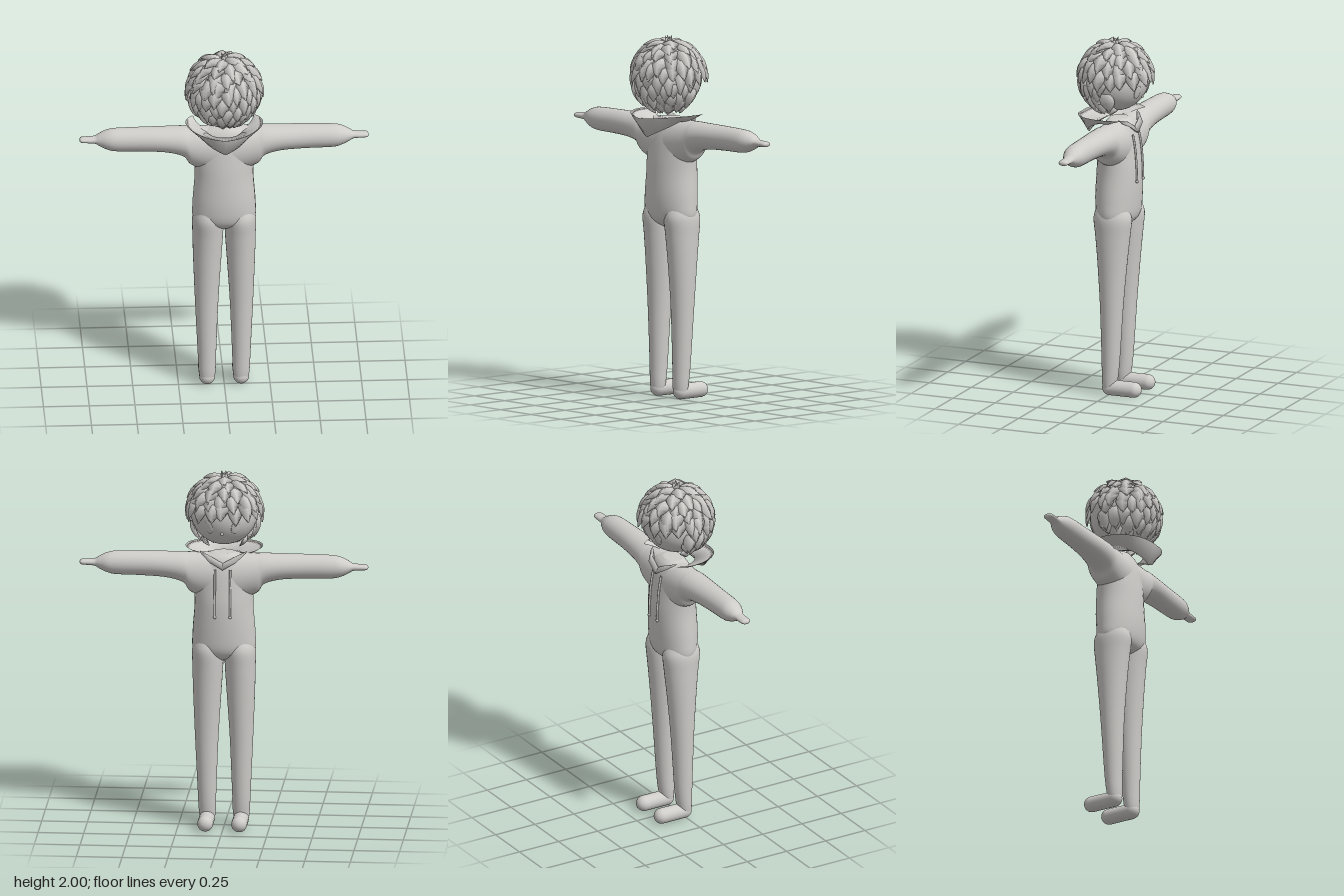
import * as THREE from 'three';

const V = (x, y, z) => new THREE.Vector3(x, y, z);

// Skin closed rings of equal point count, capping both ends
function loft(rings) {
  const n = rings[0].length, pos = [], idx = [];
  rings.forEach(r => r.forEach(p => pos.push(p.x, p.y, p.z)));
  for (let i = 0; i < rings.length - 1; i++) {
    for (let j = 0; j < n; j++) {
      const a = i * n + j, b = i * n + (j + 1) % n;
      idx.push(a, a + n, b, b, a + n, b + n);
    }
  }
  const last = (rings.length - 1) * n;
  for (let j = 1; j < n - 1; j++) idx.push(0, j, j + 1, last, last + j + 1, last + j);
  const g = new THREE.BufferGeometry();
  g.setAttribute('position', new THREE.Float32BufferAttribute(pos, 3));
  g.setIndex(idx);
  g.computeVertexNormals();
  return g;
}

// Smoothly resample rows of numbers
function smooth(rows, steps) {
  const curves = rows[0].map((_, c) => new THREE.SplineCurve(rows.map((r, i) => new THREE.Vector2(i, r[c]))));
  return Array.from({ length: steps + 1 }, (_, i) => curves.map(c => c.getPoint(i / steps).y));
}

const circle = (n, f) => Array.from({ length: n }, (_, j) => f(Math.cos(j / n * Math.PI * 2), Math.sin(j / n * Math.PI * 2)));
// Row: y, centre x, half width, centre z, half depth
const upright = rows => loft(smooth(rows, 48).map(([y, cx, rx, cz, rz]) => circle(32, (c, s) => V(cx + rx * c, y, cz + rz * s))));
// Row: x, centre y, half height, centre z, half depth
const sideways = rows => loft(smooth(rows, 120).map(([x, cy, ry, cz, rz]) => circle(32, (c, s) => V(x, cy + ry * s, cz + rz * c))));

let seed = 7;
const rand = () => (seed = (seed * 16807) % 2147483647) / 2147483647;

const HEAD = V(0, 1.775, 0), HEAD_R = 0.185;
const onHead = (polar, az, r) => V(
  r * Math.sin(polar) * Math.sin(az), r * Math.cos(polar), r * Math.sin(polar) * Math.cos(az)).add(HEAD);

// A pointed, ridged lock lying down the head with a lifted tip
function lockGeometry(polar, az, length, width, lift) {
  const across = V(Math.cos(az), 0, -Math.sin(az));
  const profile = [0.55, 0.95, 1, 0.8, 0.45, 0.03];
  return loft(profile.map((w, i) => {
    const s = i / (profile.length - 1), r = HEAD_R + 0.005 + lift * s;
    const p = polar + length * s;
    const mid = onHead(p, az, r), side = onHead(p, az, r - 0.006);
    const at = k => side.clone().addScaledVector(across, k * w * width / 2);
    return [at(-1), onHead(p, az, r + 0.014 * w), at(1), mid.lerp(HEAD, 0.06 * w)];
  }));
}

export function createModel() {
  const model = new THREE.Group();
  const clay = new THREE.MeshStandardMaterial({ color: 0xcfcdca, side: THREE.DoubleSide });
  clay.name = 'pale grey';
  const add = (name, geometry, parent = model) => {
    const m = new THREE.Mesh(geometry, clay);
    m.name = name;
    parent.add(m);
    return m;
  };

  // Torso
  add('torso', upright([
    [0.935, 0, 0.01, -0.02, 0.01], [0.955, 0, 0.1, -0.02, 0.06], [1.0, 0, 0.168, -0.02, 0.105],
    [1.1, 0, 0.172, -0.02, 0.12], [1.25, 0, 0.161, -0.025, 0.12], [1.35, 0, 0.163, -0.025, 0.112],
    [1.45, 0, 0.165, -0.025, 0.098], [1.52, 0, 0.14, -0.025, 0.075], [1.55, 0, 0.06, -0.02, 0.05]]));

  // Both sleeves and hands in one sweep across the shoulders
  const half = [
    [0.79, 1.476, 0.004, -0.026, 0.008], [0.78, 1.476, 0.014, -0.026, 0.026], [0.74, 1.476, 0.017, -0.026, 0.029],
    [0.705, 1.476, 0.021, -0.026, 0.03], [0.68, 1.476, 0.036, -0.026, 0.041], [0.64, 1.476, 0.054, -0.025, 0.058],
    [0.59, 1.475, 0.064, -0.023, 0.065], [0.45, 1.475, 0.067, -0.023, 0.07], [0.31, 1.471, 0.072, -0.023, 0.08],
    [0.22, 1.458, 0.086, -0.023, 0.088], [0.17, 1.43, 0.113, -0.024, 0.094]];
  add('shoulders and arms', sideways([
    ...half.map(([x, ...r]) => [-x, ...r]), [0, 1.41, 0.135, -0.024, 0.1], ...half.slice().reverse()]));

  // Legs and feet
  for (const s of [1, -1]) {
    const name = s > 0 ? 'left' : 'right';
    add(name + ' leg', upright([
      [0.012, 0.093, 0.012, -0.002, 0.012], [0.03, 0.093, 0.036, -0.003, 0.032], [0.08, 0.093, 0.046, -0.006, 0.042],
      [0.2, 0.094, 0.051, -0.012, 0.05], [0.5, 0.095, 0.064, -0.018, 0.064], [0.75, 0.092, 0.077, -0.021, 0.083],
      [0.9, 0.089, 0.084, -0.022, 0.098], [1.0, 0.088, 0.086, -0.021, 0.108], [1.06, 0.085, 0.07, -0.02, 0.09]
    ].map(([y, x, ...r]) => [y, s * x, ...r])));
    const foot = add(name + ' foot', new THREE.CapsuleGeometry(0.043, 0.142, 10, 24));
    foot.rotation.x = Math.PI / 2;
    foot.position.set(s * 0.093, 0.044, -0.078);
  }

  // Hood folded behind the neck: a horseshoe tapering towards the chest
  const hood = [];
  for (let i = 0; i <= 48; i++) {
    const t = (i / 24 - 1) * 2.2, sn = Math.sin(t), cs = Math.cos(t);
    const k = Math.min(1, (2.25 - Math.abs(t)) / 0.6);
    const rimY = 1.558 + 0.02 * Math.abs(sn), baseY = 1.45 + 0.09 * Math.min(1, Math.abs(t) / 1.3);
    const rim = V(0.212 * sn, rimY, cs > 0 ? 0.205 * cs : 0.17 * cs);
    const toward = (x, y, z) => rim.clone().lerp(V(x, y, z), k);
    hood.push([rim, toward(0.19 * sn, rimY - 0.012, 0.18 * cs), toward(0.1 * sn, 1.53, 0.1 * cs),
      toward(0.15 * sn, baseY, 0.155 * cs)]);
  }
  add('hood', loft(hood));

  // Collar flaps meeting in a V on the chest
  for (const s of [1, -1]) {
    add('collar flap', loft([
      [V(s * 0.13, 1.565, -0.07), V(s * 0.125, 1.555, -0.085), V(s * 0.1, 1.54, -0.08)],
      [V(s * 0.08, 1.55, -0.11), V(s * 0.075, 1.515, -0.13), V(s * 0.06, 1.52, -0.1)],
      [V(0, 1.505, -0.115), V(0, 1.47, -0.135), V(0, 1.48, -0.1)]]));
    // Drawstring with a knotted end
    const path = new THREE.CatmullRomCurve3([V(s * 0.042, 1.47, -0.121), V(s * 0.042, 1.4, -0.134),
      V(s * 0.042, 1.3, -0.143), V(s * 0.042, 1.21, -0.146)]);
    add('drawstring', new THREE.TubeGeometry(path, 16, 0.006, 8));
    const knot = add('drawstring end', new THREE.SphereGeometry(0.009, 12, 8));
    knot.position.set(s * 0.042, 1.208, -0.146);
  }

  // Head and face
  add('head', new THREE.SphereGeometry(HEAD_R, 48, 32)).position.copy(HEAD);
  const faceSpot = (name, polar, az, w, h, d) => {
    const m = add(name, new THREE.SphereGeometry(1, 20, 14));
    m.scale.set(w, h, d);
    m.position.copy(onHead(polar, Math.PI + az, HEAD_R));
    m.lookAt(m.position.clone().multiplyScalar(2).sub(HEAD));
  };
  for (const s of [1, -1]) faceSpot('eye', 1.88, s * 0.42, 0.023, 0.04, 0.006);
  faceSpot('nose', 2.1, 0, 0.009, 0.008, 0.009);

  // Hair in overlapping rings, leaving the face (towards -z) bare
  const hair = new THREE.Group();
  hair.name = 'hair';
  model.add(hair);
  const rows = 10;
  for (let row = 0; row < rows; row++) {
    const polar = 0.1 + row * 0.255;
    const count = Math.max(6, Math.round(19 * Math.sin(polar + 0.2)));
    for (let i = 0; i < count; i++) {
      const az = (i + (row % 2) / 2 + (rand() - 0.5) * 0.5) / count * Math.PI * 2;
      const start = polar + (rand() - 0.5) * 0.12;
      let length = 0.5 + rand() * 0.15;
      const fromFace = Math.abs(az % (Math.PI * 2) - Math.PI);
      if (fromFace < 1.45) {
        if (start > 1.25) continue;
        length = Math.min(length, 1.78 - start);
      }
      length = Math.min(length, 2.75 - start);
      add('hair lock', lockGeometry(start, az, length, 0.078 + rand() * 0.02, 0.018 + rand() * 0.012), hair);
    }
  }
  // Crown tuft
  for (let i = 0; i < 4; i++) {
    const tuft = add('crown tuft', new THREE.ConeGeometry(0.016, 0.045, 8), hair);
    const a = i * Math.PI / 2 + 0.4;
    tuft.position.set(0.012 * Math.cos(a), 1.977, 0.012 * Math.sin(a));
    tuft.rotation.set(0.35 * Math.sin(a), 0, -0.35 * Math.cos(a));
  }
  return model;
}
